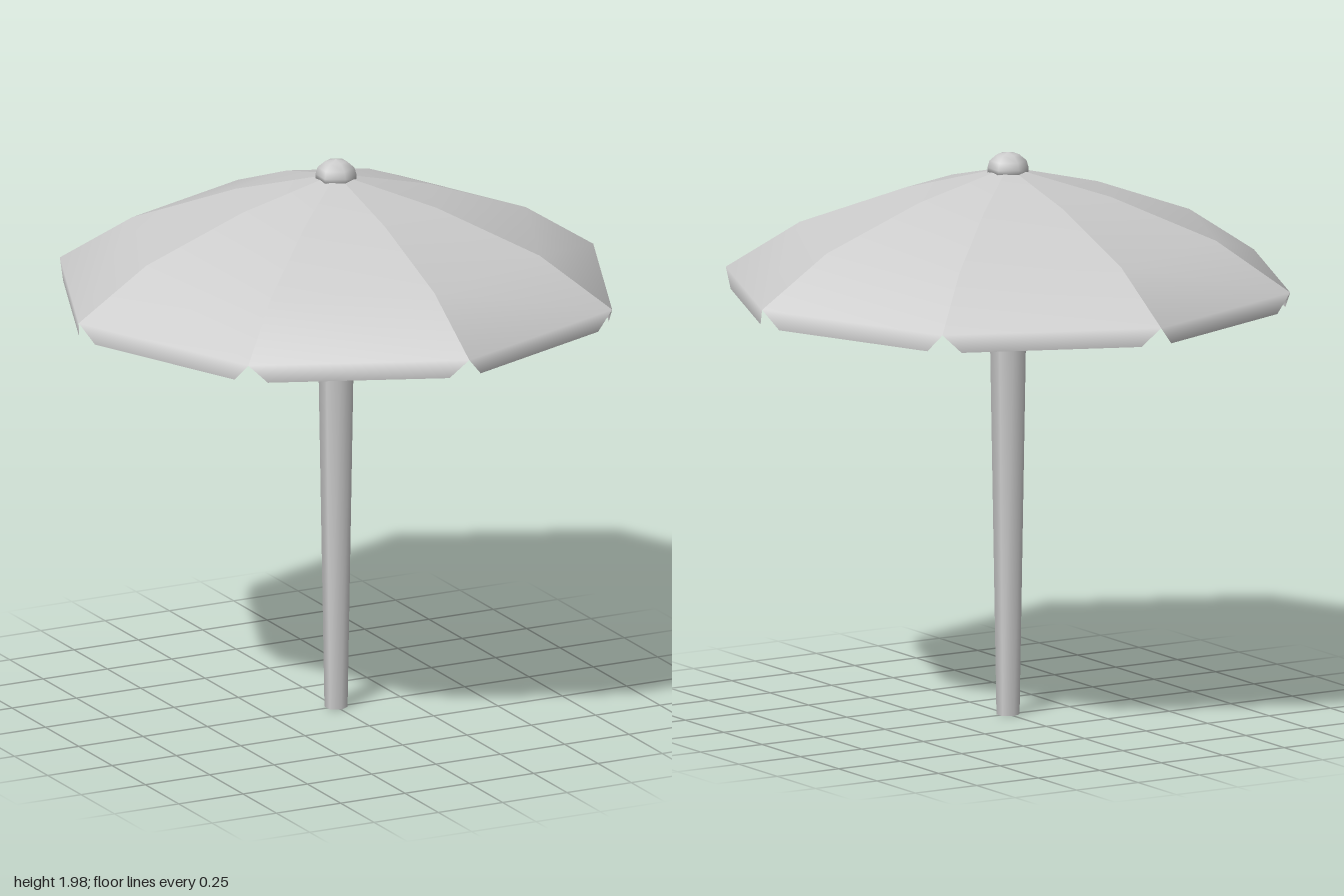
import * as THREE from 'three';

const PANELS = 8;
const grey = new THREE.MeshStandardMaterial({ color: 0xcccccc });
const cloth = new THREE.MeshStandardMaterial({ color: 0xcccccc, side: THREE.DoubleSide });

// Rib profile from hub to rim: [radius, height]
const RIB = [[0.01, 1.925], [0.364, 1.838], [0.738, 1.70], [1, 1.53]];
const FLAP_Y = 1.465, FLAP_INSET = 0.068, FLAP_TUCK = 0.006;

// One flat-sided canopy panel between two ribs, ending in a hanging flap
function panelGeometry() {
  const half = Math.PI / PANELS;
  const s = Math.sin(half), c = Math.cos(half);
  const rows = RIB.map(([r, y]) => [r * s, y, r * c]);
  rows.push([s - FLAP_INSET, FLAP_Y, c - FLAP_TUCK]);

  const positions = [], index = [];
  rows.forEach(([x, y, z], i) => {
    positions.push(-x, y, z, x, y, z);
    if (i === 0) return;
    const a = 2 * (i - 1), b = 2 * i;
    index.push(a, b, b + 1, a, b + 1, a + 1);
  });
  const geometry = new THREE.BufferGeometry();
  geometry.setAttribute('position', new THREE.Float32BufferAttribute(positions, 3));
  geometry.setIndex(index);
  geometry.computeVertexNormals();
  return geometry;
}

export function createModel() {
  const model = new THREE.Group();
  model.name = 'parasol';

  // Six-sided pole, widening upwards
  const pole = new THREE.Mesh(new THREE.CylinderGeometry(0.072, 0.04, 1.91, 6), grey);
  pole.name = 'pole';
  pole.position.y = 1.91 / 2;
  model.add(pole);

  // Domed cap on top of the pole
  const dome = [[0, 1.9], [0.07, 1.905], [0.071, 1.925], [0.064, 1.95], [0.038, 1.972], [0, 1.98]];
  const finial = new THREE.Mesh(
    new THREE.LatheGeometry(dome.map(([r, y]) => new THREE.Vector2(r, y)), 6), grey);
  finial.name = 'finial';
  model.add(finial);

  // Canopy of eight separate panels, creased along the ribs
  const canopy = new THREE.Group();
  canopy.name = 'canopy';
  const geometry = panelGeometry();
  for (let i = 0; i < PANELS; i++) {
    const panel = new THREE.Mesh(geometry, cloth);
    panel.name = 'canopyPanel';
    panel.rotation.y = ((i + 0.5) / PANELS) * Math.PI * 2;
    canopy.add(panel);
  }
  model.add(canopy);

  return model;
}
